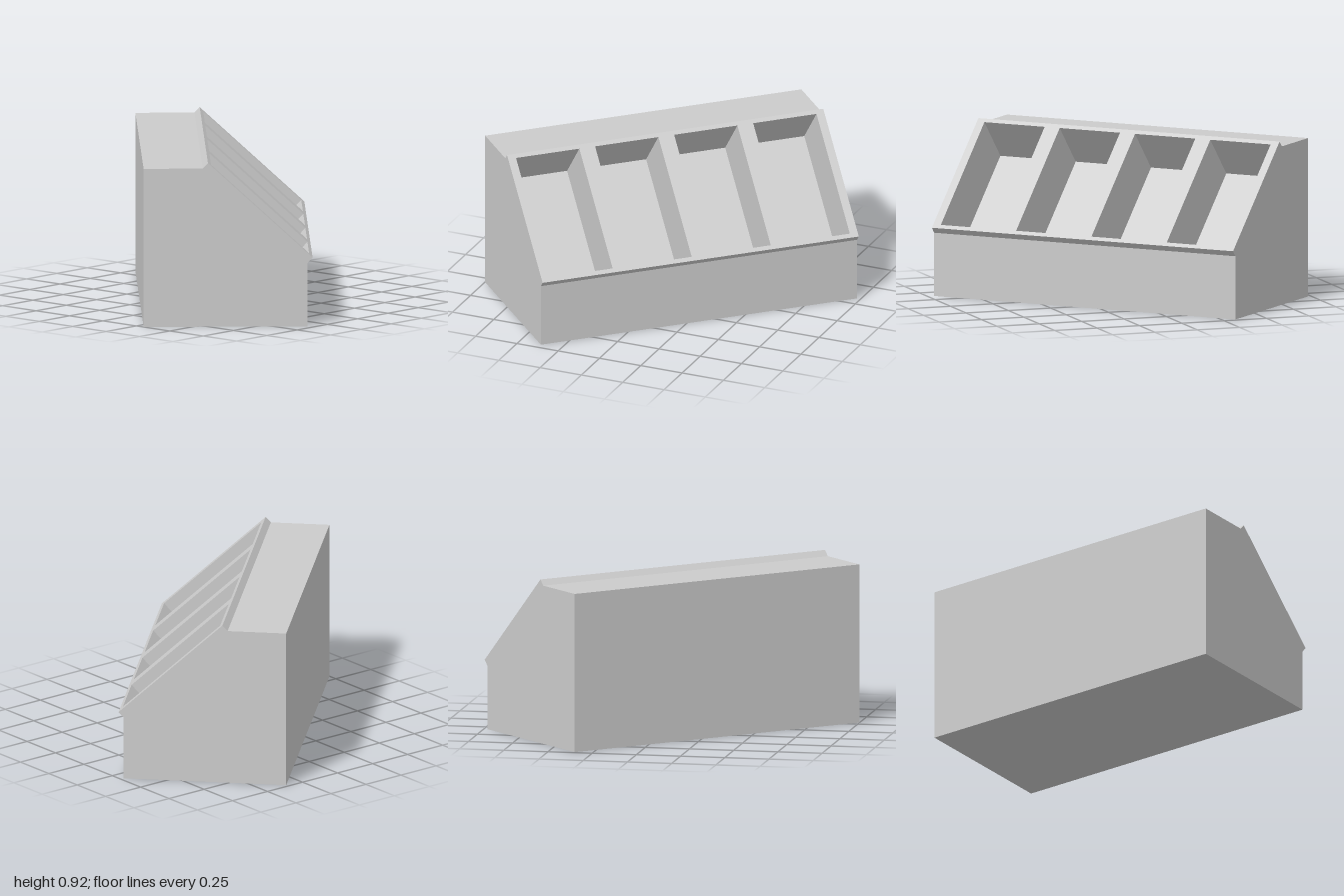
import * as THREE from 'three';

const HALF = 0.932;                 // half of the case length
const COUNT = 4;                    // compartments
const PITCH = (2 * HALF) / COUNT;
const LIP = [0.4685, 0.387];        // front edge of the sloped top, as [z, y]
const RIDGE = [-0.112, 0.92];       // rear edge of the sloped top

// Side outline from ridge round the back and base to the lip, as [z, y]
const OUTLINE = [
  RIDGE, [-0.141, 0.889], [-0.4685, 0.889], [-0.4685, 0],
  [0.4395, 0], [0.4395, 0.355], LIP,
];

// Open band of flat panels swept along x
function sweptBand(points) {
  const pos = [];
  for (let i = 0; i < points.length - 1; i++) {
    const [z0, y0] = points[i], [z1, y1] = points[i + 1];
    const a = [-HALF, y0, z0], b = [HALF, y0, z0], c = [HALF, y1, z1], d = [-HALF, y1, z1];
    pos.push(...a, ...b, ...c, ...a, ...c, ...d);
  }
  const g = new THREE.BufferGeometry();
  g.setAttribute('position', new THREE.Float32BufferAttribute(pos, 3));
  g.computeVertexNormals();
  return g;
}

// Box without its +z face, facing inwards
function openPocket(w, h, d) {
  const g = new THREE.BoxGeometry(w, h, d);
  g.setIndex(Array.from(g.index.array).slice(0, 30));
  g.clearGroups();
  g.scale(1, 1, -1);
  g.computeVertexNormals();
  return g;
}

export function createModel() {
  const model = new THREE.Group();
  model.name = 'compartmentCase';
  const material = new THREE.MeshStandardMaterial({ color: 0xcccccc, flatShading: true });
  const add = (parent, geometry, name) => {
    const m = new THREE.Mesh(geometry, material);
    m.name = name;
    parent.add(m);
    return m;
  };

  const body = new THREE.Group();
  body.name = 'case';
  body.rotation.y = 0.7605;         // the case stands diagonally
  model.add(body);

  // Back, base, front and lip
  add(body, sweptBand(OUTLINE), 'outerShell');

  // End panels
  for (const s of [1, -1]) {
    const shape = new THREE.Shape(OUTLINE.map(([z, y]) => new THREE.Vector2(-s * z, y)));
    const end = add(body, new THREE.ShapeGeometry(shape), s > 0 ? 'leftEnd' : 'rightEnd');
    end.rotation.y = s * Math.PI / 2;
    end.position.x = s * HALF;
  }

  // Sloped top: x along the case, y up the slope, z out of the slope
  const run = LIP[0] - RIDGE[0], rise = RIDGE[1] - LIP[1];
  const length = Math.hypot(run, rise);
  const top = new THREE.Group();
  top.name = 'slopedTop';
  top.position.set(0, LIP[1], LIP[0]);
  top.rotation.x = -Math.atan2(run, rise);
  body.add(top);

  const margin = 0.025, depth = 0.295, w = 0.373, h = length - 2 * margin;
  const frame = new THREE.Shape([
    new THREE.Vector2(-HALF, 0), new THREE.Vector2(HALF, 0),
    new THREE.Vector2(HALF, length), new THREE.Vector2(-HALF, length),
  ]);

  // Compartments sunk square to the slope
  for (let i = 0; i < COUNT; i++) {
    const x = -HALF + PITCH * (i + 0.5);
    const l = x - w / 2, r = x + w / 2;
    frame.holes.push(new THREE.Path([
      new THREE.Vector2(l, margin), new THREE.Vector2(l, margin + h),
      new THREE.Vector2(r, margin + h), new THREE.Vector2(r, margin),
    ]));
    add(top, openPocket(w, h, depth), 'compartment' + (i + 1))
      .position.set(x, length / 2, -depth / 2);
  }
  add(top, new THREE.ShapeGeometry(frame), 'topFrame');

  return model;
}
